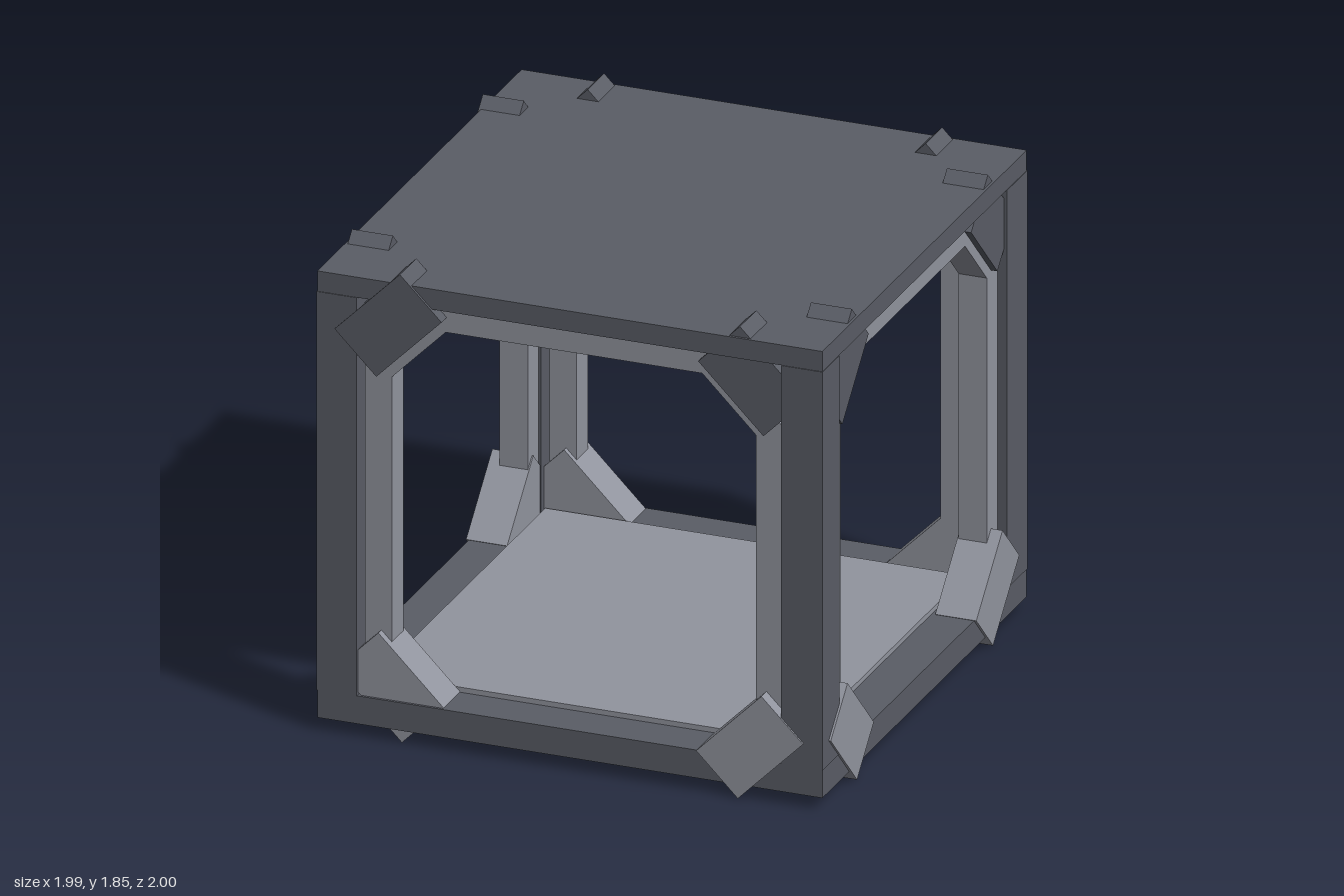
import * as THREE from 'three';

const mat = (name, color) => {
  const m = new THREE.MeshStandardMaterial({ color });
  m.name = name;
  return m;
};

export function createModel() {
  const dark = mat('dark steel', 0x5a5d66);
  const light = mat('light steel', 0x92959f);
  const pale = mat('pale panel', 0xe2e4e8);
  const model = new THREE.Group();
  model.name = 'cubeFrame';

  // Box given by its min and max corners
  const box = (name, material, a, b, parent = model) => {
    const mesh = new THREE.Mesh(new THREE.BoxGeometry(b[0] - a[0], b[1] - a[1], b[2] - a[2]), material);
    mesh.position.set((a[0] + b[0]) / 2, (a[1] + b[1]) / 2, (a[2] + b[2]) / 2);
    mesh.name = name;
    parent.add(mesh);
    return mesh;
  };

  // Horizontal slabs, floor plate and ceiling panel
  box('baseSlab', dark, [-0.985, 0.05, -0.99], [0.985, 0.16, 0.99]);
  box('roofSlab', dark, [-0.985, 1.73, -0.99], [0.985, 1.81, 0.99]);
  box('floorPlate', light, [-0.82, 0.16, -0.81], [0.82, 0.18, 0.82]);
  box('ceilingPanel', pale, [-0.2, 1.724, -0.33], [0.2, 1.731, 0.33]);

  // Corner posts, the rear pair slightly deeper
  for (const s of [-1, 1]) {
    const x0 = s < 0 ? -0.987 : 0.825;
    const x1 = s < 0 ? -0.83 : 0.987;
    box('frontPost', dark, [x0, 0.16, 0.83], [x1, 1.73, 0.993]);
    box('rearPost', dark, [x0, 0.16, -0.993], [x1, 1.73, -0.795]);
  }

  // Chamfered arch that lines each opening
  const arch = [
    [0.815, 0.16], [0.815, 1.47], [0.55, 1.73], [-0.55, 1.73], [-0.815, 1.47], [-0.815, 0.16],
    [-0.71, 0.16], [-0.71, 1.42], [-0.5, 1.63], [0.5, 1.63], [0.71, 1.42], [0.71, 0.16],
  ];
  const archGeo = new THREE.ExtrudeGeometry(
    new THREE.Shape(arch.map(([x, y]) => new THREE.Vector2(x, y))),
    { depth: 0.11, bevelEnabled: false });
  archGeo.translate(0, 0, 0.84);

  // Diagonal corner brace, with one corner poking past the slab
  const braceGeo = new THREE.BoxGeometry(0.36, 0.23, 0.16);

  // proud: which braces stand out, as top -x, top +x, bottom -x, bottom +x
  const sides = [
    { name: 'frontSide', angle: 0, shift: 0, out: 1.0, proud: [1, 0, 0, 1] },
    { name: 'leftSide', angle: Math.PI / 2, shift: -0.02, out: 0.995, proud: [0, 0, 1, 1] },
    { name: 'rearSide', angle: Math.PI, shift: 0, out: 1.0, proud: [0, 0, 1, 0] },
    { name: 'rightSide', angle: -Math.PI / 2, shift: 0.02, out: 0.995, proud: [1, 0, 1, 1] },
  ];
  for (const { name, angle, shift, out, proud } of sides) {
    const side = new THREE.Group();
    side.name = name;
    side.rotation.y = angle;
    model.add(side);

    const lining = new THREE.Mesh(archGeo, light);
    lining.name = 'openingLining';
    lining.position.x = shift;
    side.add(lining);

    proud.forEach((p, i) => {
      const top = i < 2;
      const s = i % 2 ? 1 : -1;
      const brace = new THREE.Mesh(braceGeo, top ? dark : light);
      brace.name = top ? 'upperBrace' : 'lowerBrace';
      brace.position.set(s * 0.705 + shift, top ? 1.643 : 0.208, out - 0.08 - (p ? 0 : 0.02));
      brace.rotation.z = (top ? -s : s) * Math.PI / 4;
      side.add(brace);
    });
  }
  return model;
}
